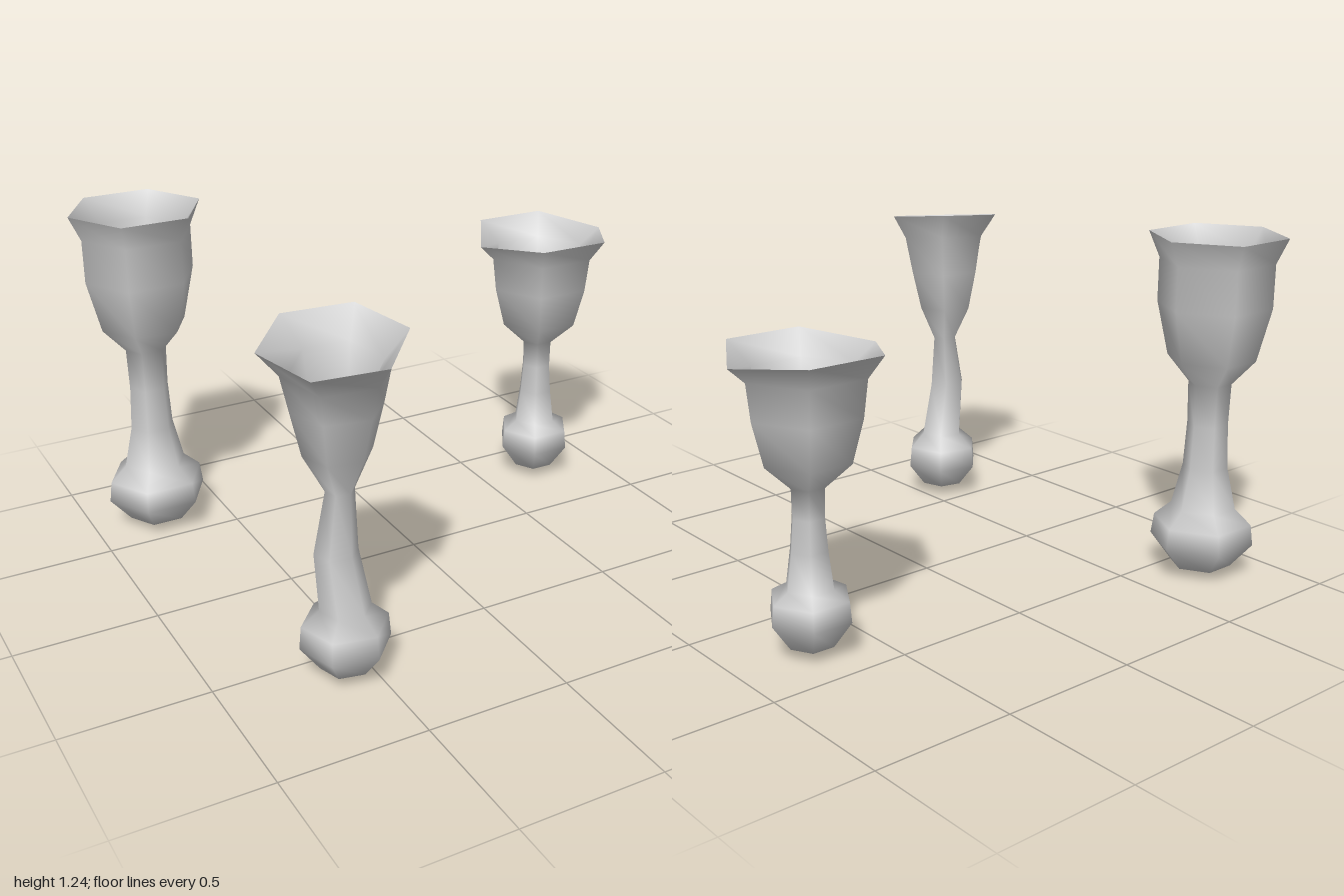
import * as THREE from 'three';
import { mergeVertices } from 'three/addons/utils/BufferGeometryUtils.js';

const SIDES = 6;

// Each ring is [radius, y, x offset, z offset, lift(dx, dz, index)]
function ringSurface(rings, turn) {
  const pos = [], index = [];
  for (const [r, y, ox = 0, oz = 0, lift] of rings) {
    for (let i = 0; i < SIDES; i++) {
      const a = turn + (i / SIDES) * Math.PI * 2;
      const dx = r * Math.cos(a), dz = r * Math.sin(a);
      pos.push(ox + dx, y + (lift ? lift(dx, dz, i) : 0), oz + dz);
    }
  }
  for (let j = 0; j < rings.length - 1; j++) {
    for (let i = 0; i < SIDES; i++) {
      const k = (i + 1) % SIDES;
      const a = j * SIDES + i, b = j * SIDES + k;
      const c = a + SIDES, d = b + SIDES;
      if (rings[j][0] > 0) index.push(a, d, b);
      if (rings[j + 1][0] > 0) index.push(a, c, d);
    }
  }
  let geo = new THREE.BufferGeometry();
  geo.setAttribute('position', new THREE.Float32BufferAttribute(pos, 3));
  geo.setIndex(index);
  geo = mergeVertices(geo, 1e-5);
  geo.computeVertexNormals();
  return geo;
}

function makeGoblet(name, x, z, turn, outer, inner) {
  const material = new THREE.MeshStandardMaterial({ color: 0xcccccc, side: THREE.DoubleSide });
  const goblet = new THREE.Group();
  goblet.name = name;
  goblet.position.set(x, 0, z);
  // Bulb foot, stem and outer cup wall
  const shell = new THREE.Mesh(ringSurface(outer, turn), material);
  shell.name = 'bulbStemAndCup';
  // Hollow inside, running down from the flared rim
  const hollow = new THREE.Mesh(ringSurface([outer[outer.length - 1], ...inner], turn), material);
  hollow.name = 'cupInside';
  goblet.add(shell, hollow);
  return goblet;
}

export function createModel() {
  const model = new THREE.Group();
  model.name = 'goblets';

  // Tall straight goblet
  model.add(makeGoblet('tallGoblet', -0.76, -0.645, 0, [
    [0, 0.005], [0.11, 0.04], [0.185, 0.13], [0.175, 0.205], [0.115, 0.26], [0.08, 0.41],
    [0.072, 0.57], [0.076, 0.72], [0.155, 0.81], [0.2, 1.0], [0.2, 1.155], [0.24, 1.245],
  ], [[0.175, 1.16], [0.175, 1.0], [0.13, 0.85], [0, 0.78]]));

  // Bent goblet with a tilted mouth
  const tilt = (dx, dz) => 0.08 * dx - 0.13 * dz;
  model.add(makeGoblet('bentGoblet', -0.59, 0.62, 0.21, [
    [0, 0.02], [0.085, 0.045], [0.15, 0.13], [0.143, 0.21], [0.085, 0.262, 0, 0.005],
    [0.071, 0.47, -0.028, 0.005], [0.047, 0.67, -0.004, -0.008], [0.11, 0.8, -0.01, -0.005],
    [0.145, 0.95, -0.01, 0], [0.172, 1.08, -0.012, 0.008, tilt], [0.23, 1.165, -0.023, 0.012, tilt],
  ], [[0.145, 1.08, -0.012, 0.008, tilt], [0.12, 0.95, -0.01], [0.085, 0.8, -0.01], [0, 0.72, -0.005]]));

  // Short goblet with a wavy mouth
  const wave = (dx, dz, i) => (i % 3 === 0 ? 0 : 0.024);
  model.add(makeGoblet('shortGoblet', 0.728, -0.308, 0.02, [
    [0, 0.018], [0.08, 0.045], [0.145, 0.14], [0.138, 0.21], [0.085, 0.242], [0.067, 0.37],
    [0.058, 0.48], [0.06, 0.58], [0.155, 0.67], [0.195, 0.82], [0.21, 0.945], [0.267, 1.0, 0.004, -0.004, wave],
  ], [[0.185, 0.945], [0.168, 0.82], [0.12, 0.7], [0, 0.64]]));

  return model;
}
